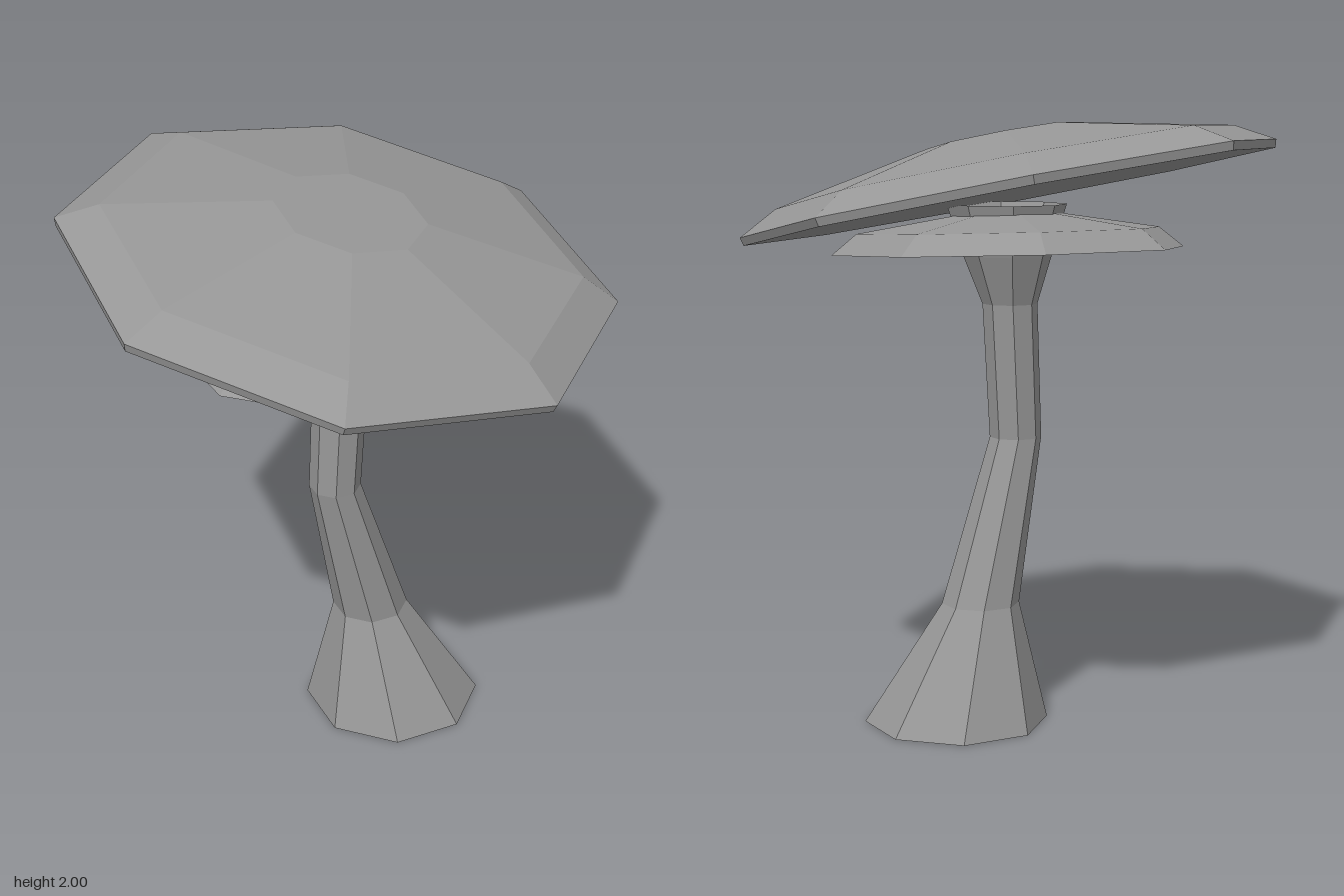
import * as THREE from 'three';

const SIDES = 8;
const COLOR = 0x979797;

// Faceted octagonal cap: profile runs from the flat underside to the flat crown
function makeCap(name, profile, y, slopeX, slopeZ, twist, material) {
  const points = profile.map(([r, h]) => new THREE.Vector2(r, h));
  const cap = new THREE.Mesh(new THREE.LatheGeometry(points, SIDES), material);
  cap.name = name;
  const normal = new THREE.Vector3(slopeX, 1, slopeZ).normalize();
  cap.quaternion.setFromUnitVectors(new THREE.Vector3(0, 1, 0), normal);
  cap.rotateY(-THREE.MathUtils.degToRad(twist));
  cap.position.y = y;
  return cap;
}

// Open tube through octagonal rings given as [x, y, z, radius], bottom to top
function loftRings(rings) {
  const positions = [], index = [];
  rings.forEach(([x, y, z, r], j) => {
    for (let i = 0; i < SIDES; i++) {
      const a = (i / SIDES) * Math.PI * 2;
      positions.push(x + r * Math.sin(a), y, z + r * Math.cos(a));
      if (j === 0) continue;
      const next = (i + 1) % SIDES;
      const a0 = (j - 1) * SIDES + i, b0 = (j - 1) * SIDES + next;
      const a1 = j * SIDES + i, b1 = j * SIDES + next;
      index.push(a0, b0, b1, a0, b1, a1);
    }
  });
  const geometry = new THREE.BufferGeometry();
  geometry.setAttribute('position', new THREE.Float32BufferAttribute(positions, 3));
  geometry.setIndex(index);
  geometry.computeVertexNormals();
  return geometry;
}

export function createModel() {
  const model = new THREE.Group();
  model.name = 'mushroom';
  const solid = new THREE.MeshStandardMaterial({ color: COLOR, flatShading: true });
  const open = new THREE.MeshStandardMaterial({ color: COLOR, flatShading: true, side: THREE.DoubleSide });

  // Bent stem, hollow at the foot, flaring into the caps
  const stem = new THREE.Mesh(loftRings([
    [0.19, 0, -0.07, 0.308],
    [0.107, 0.4, -0.067, 0.13],
    [-0.02, 0.95, 0.015, 0.087],
    [0, 1.4, 0.003, 0.092],
    [0.008, 1.56, 0.005, 0.148],
    [0.01, 1.73, 0.005, 0.2],
  ]), open);
  stem.name = 'stem';
  model.add(stem);

  // Small sharp-edged lower cap
  model.add(makeCap('lowerCap',
    [[0, 0], [0.594, 0], [0.51, 0.068], [0.17, 0.122], [0, 0.122]],
    1.575, 0.018, 0.041, -4.5, solid));

  // Large tilted upper cap with a thin rim
  model.add(makeCap('upperCap',
    [[0, -0.028], [0.895, -0.028], [0.903, 0], [0.77, 0.071], [0.245, 0.175], [0, 0.175]],
    1.782, 0.178, 0.083, 1.5, solid));

  return model;
}
